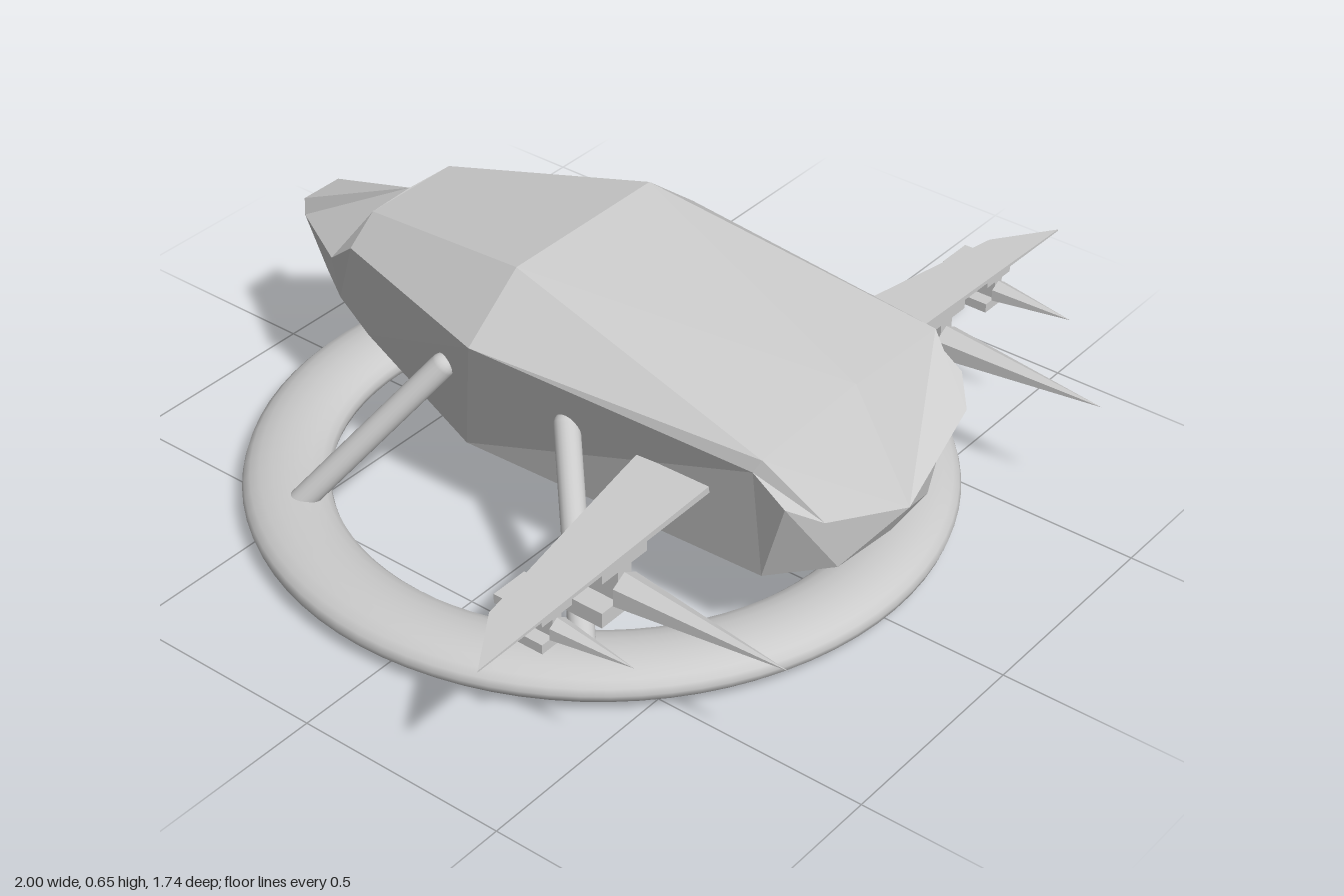
import * as THREE from 'three';

const smooth = new THREE.MeshStandardMaterial({ color: 0xcccccc });
const flat = new THREE.MeshStandardMaterial({ color: 0xcccccc, flatShading: true });

function add(parent, name, geometry, material = flat) {
  const mesh = new THREE.Mesh(geometry, material);
  mesh.name = name;
  parent.add(mesh);
  return mesh;
}

// Faceted hull lofted through half sections, mirrored across x
function hullGeometry() {
  // Each: top centre, top ridge, shoulder, bottom edge, bottom centre (rear to front)
  const sections = [
    [[0, 0.45, -0.875], [0.055, 0.45, -0.875], [0.06, 0.41, -0.872], [0.08, 0.305, -0.79], [0, 0.305, -0.79]],
    [[0, 0.555, -0.6], [0, 0.555, -0.6], [0.19, 0.44, -0.665], [0.135, 0.295, -0.7], [0, 0.28, -0.7]],
    [[0, 0.555, -0.595], [0.125, 0.555, -0.595], [0.2, 0.497, -0.595], [0.175, 0.265, -0.58], [0, 0.245, -0.58]],
    [[0, 0.655, -0.1], [0.22, 0.655, -0.1], [0.375, 0.535, -0.1], [0.28, 0.2, -0.2], [0, 0.19, -0.35]],
    [[0, 0.55, 0.605], [0.3, 0.525, 0.595], [0.31, 0.495, 0.58], [0.27, 0.215, 0.58], [0, 0.21, 0.62]],
    [[0, 0.31, 0.75], [0.25, 0.4, 0.715], [0.31, 0.44, 0.66], [0.16, 0.225, 0.69], [0, 0.235, 0.71]],
  ];
  const n = 8;
  const last = (sections.length - 1) * n;
  const positions = [];
  const index = [];
  for (const s of sections) {
    const mirrored = [3, 2, 1].map((i) => [-s[i][0], s[i][1], s[i][2]]);
    positions.push(...s.flat(), ...mirrored.flat());
  }
  for (let i = 0; i < last; i += n) {
    for (let j = 0; j < n; j++) {
      const k = (j + 1) % n;
      const [a, b, c, d] = [i + j, i + k, i + n + j, i + n + k];
      // Split diagonals symmetrically on both sides
      if (j < n / 2) index.push(a, c, b, b, c, d);
      else index.push(a, c, d, a, d, b);
    }
  }
  // Tail and nose caps
  for (let j = 1; j < n - 1; j++) {
    index.push(0, j, j + 1, last, last + j + 1, last + j);
  }
  const g = new THREE.BufferGeometry();
  g.setAttribute('position', new THREE.Float32BufferAttribute(positions, 3));
  g.setIndex(index);
  const out = g.toNonIndexed();
  out.computeVertexNormals();
  return out;
}

// Thin swept wing, tapering in thickness toward the tip
function wingGeometry(side) {
  const outline = [[0.27, 0.465], [0.27, 0.28], [0.36, 0.293], [0.86, 0.372], [1, 0.465]];
  const shape = new THREE.Shape(outline.map(([x, z]) => new THREE.Vector2(side * x, z)));
  const g = new THREE.ExtrudeGeometry(shape, { depth: 0.01, bevelEnabled: false });
  g.rotateX(Math.PI / 2);
  const p = g.attributes.position;
  for (let i = 0; i < p.count; i++) {
    const t = (Math.abs(p.getX(i)) - 0.27) / 0.73;
    const y = p.getY(i) > -0.005 ? THREE.MathUtils.lerp(0.402, 0.38, t) : THREE.MathUtils.lerp(0.385, 0.376, t);
    p.setY(i, y);
  }
  g.computeVertexNormals();
  return g;
}

// Spike on an I-shaped mount hung under the wing
function weapon(x, { y, radius, length, half, top, bottom, plate }) {
  const group = new THREE.Group();
  group.name = 'spikeMount';
  const z = 0.4;
  const depth = 0.12;
  add(group, 'upperPlate', new THREE.BoxGeometry(half * 2, plate, depth)).position.set(x, top - plate / 2, z);
  add(group, 'lowerPlate', new THREE.BoxGeometry(half * 2, plate, depth)).position.set(x, bottom + plate / 2, z);
  add(group, 'web', new THREE.BoxGeometry(radius, top - bottom - plate, depth)).position.set(x, (top + bottom) / 2, z);
  const cone = new THREE.ConeGeometry(radius, length, 6).rotateX(Math.PI / 2);
  add(group, 'spike', cone).position.set(x, y, 0.46 + length / 2);
  return group;
}

// Round-ended strut between two points
function strut(parent, from, to) {
  const dir = to.clone().sub(from);
  const mesh = add(parent, 'strut', new THREE.CapsuleGeometry(0.028, dir.length(), 6, 20), smooth);
  mesh.position.copy(from).addScaledVector(dir, 0.5);
  mesh.quaternion.setFromUnitVectors(new THREE.Vector3(0, 1, 0), dir.normalize());
}

export function createModel() {
  const model = new THREE.Group();
  model.name = 'hoverCraft';

  add(model, 'hull', hullGeometry());

  // Flattened landing ring
  const ringGeometry = new THREE.TorusGeometry(0.6925, 0.0975, 20, 80).rotateX(Math.PI / 2).scale(1, 0.5, 1);
  add(model, 'landingRing', ringGeometry, smooth).position.set(0, 0.05, -0.055);

  for (const side of [1, -1]) {
    const name = side > 0 ? 'left' : 'right';
    add(model, name + 'Wing', wingGeometry(side));
    model.add(weapon(side * 0.56, {
      y: 0.3, radius: 0.042, length: 0.4, half: 0.07, top: 0.389, bottom: 0.245, plate: 0.036,
    }));
    model.add(weapon(side * 0.765, {
      y: 0.33, radius: 0.027, length: 0.19, half: 0.045, top: 0.382, bottom: 0.295, plate: 0.022,
    }));
    // Front and rear struts, mirrored about the ring centre
    for (const end of [1, -1]) {
      strut(model,
        new THREE.Vector3(side * 0.55, 0.07, -0.055 + end * 0.4),
        new THREE.Vector3(side * 0.32, 0.41, -0.055 + end * 0.17));
    }
  }
  return model;
}
